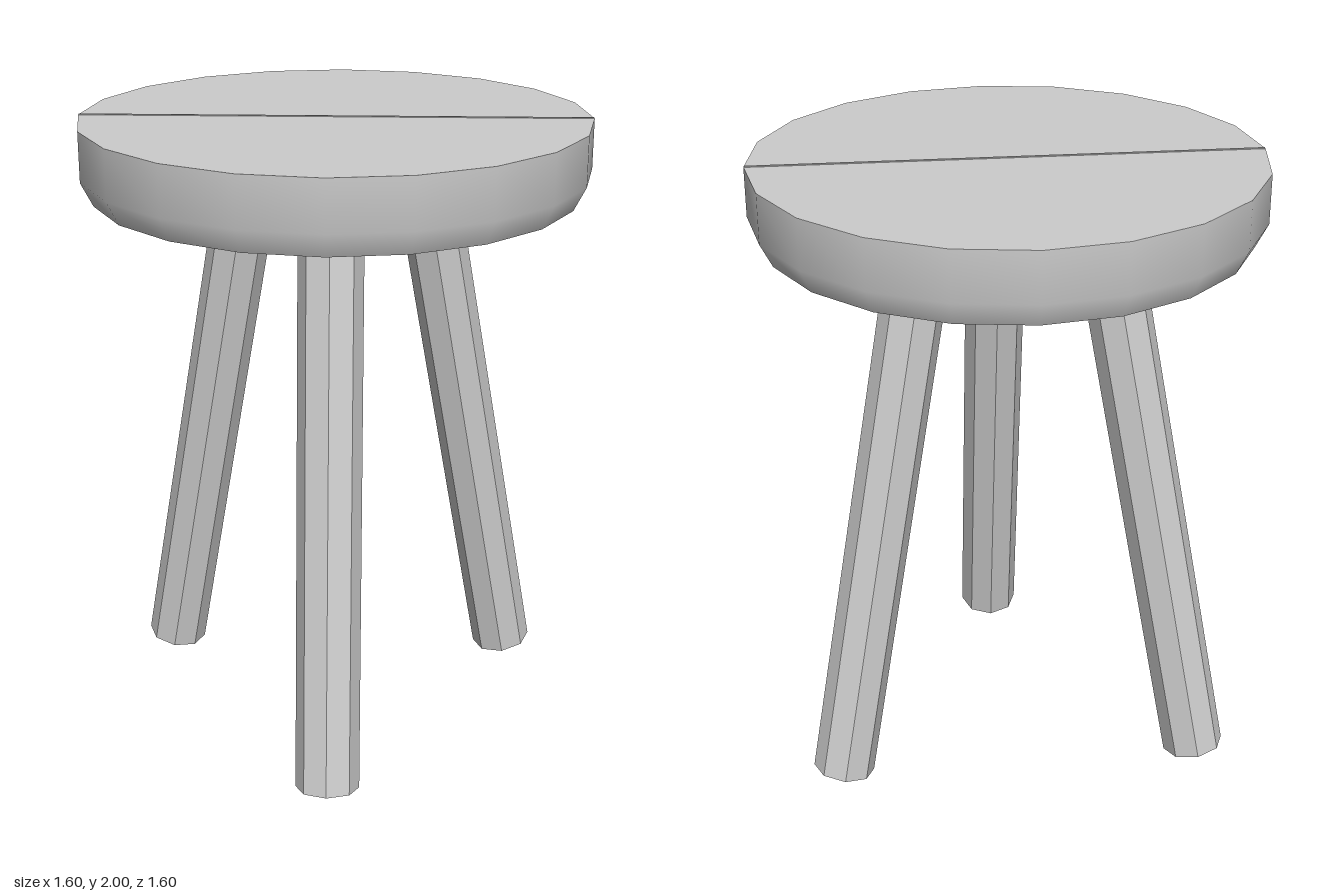
import * as THREE from 'three';

const SIDES = 20;
const SEAT_R = 0.8, SEAT_TOP = 1.997, RIM_Y = 1.84, UNDER_R = 0.762, UNDER_Y = 1.765;

export function createModel() {
  const grey = new THREE.MeshStandardMaterial({ color: 0xcccccc });
  grey.name = 'plain grey';
  const model = new THREE.Group();
  model.name = 'threeLeggedStool';

  const add = (parent, name, geometry) => {
    const mesh = new THREE.Mesh(geometry, grey);
    mesh.name = name;
    parent.add(mesh);
    return mesh;
  };

  // Round seat: smooth rim with a lower bevel, capped by flat discs
  const seat = new THREE.Group();
  seat.name = 'seat';
  model.add(seat);
  const profile = [[UNDER_R, UNDER_Y], [SEAT_R, RIM_Y], [SEAT_R, SEAT_TOP]]
    .map(([r, y]) => new THREE.Vector2(r, y));
  add(seat, 'seatRim', new THREE.LatheGeometry(profile, SIDES));
  const top = add(seat, 'seatTop', new THREE.CircleGeometry(SEAT_R, SIDES));
  top.rotation.x = -Math.PI / 2;
  top.position.y = SEAT_TOP;
  const underside = add(seat, 'seatUnderside', new THREE.CircleGeometry(UNDER_R, SIDES));
  underside.rotation.x = Math.PI / 2;
  underside.position.y = UNDER_Y;

  // Hairline seam across the middle of the top
  const seam = add(seat, 'seatSeam', new THREE.BoxGeometry(2 * SEAT_R - 0.004, 0.006, 0.008));
  seam.position.y = 1.997;

  // Three splayed octagonal legs, evenly spaced around the seat
  const up = new THREE.Vector3(0, 1, 0);
  ['frontLeg', 'rightLeg', 'leftLeg'].forEach((name, i) => {
    const angle = -i * Math.PI * 2 / 3;
    const at = (r, y) => new THREE.Vector3(Math.sin(angle) * r, y, Math.cos(angle) * r);
    const foot = at(0.682, 0.02), head = at(0.32, 1.82);
    const axis = head.clone().sub(foot);
    const geometry = new THREE.CylinderGeometry(0.1, 0.1, axis.length(), 8).toNonIndexed();
    geometry.computeVertexNormals(); // faceted sides
    const leg = add(model, name, geometry);
    leg.quaternion.setFromUnitVectors(up, axis.normalize());
    leg.position.copy(foot).add(head).multiplyScalar(0.5);
  });

  return model;
}
